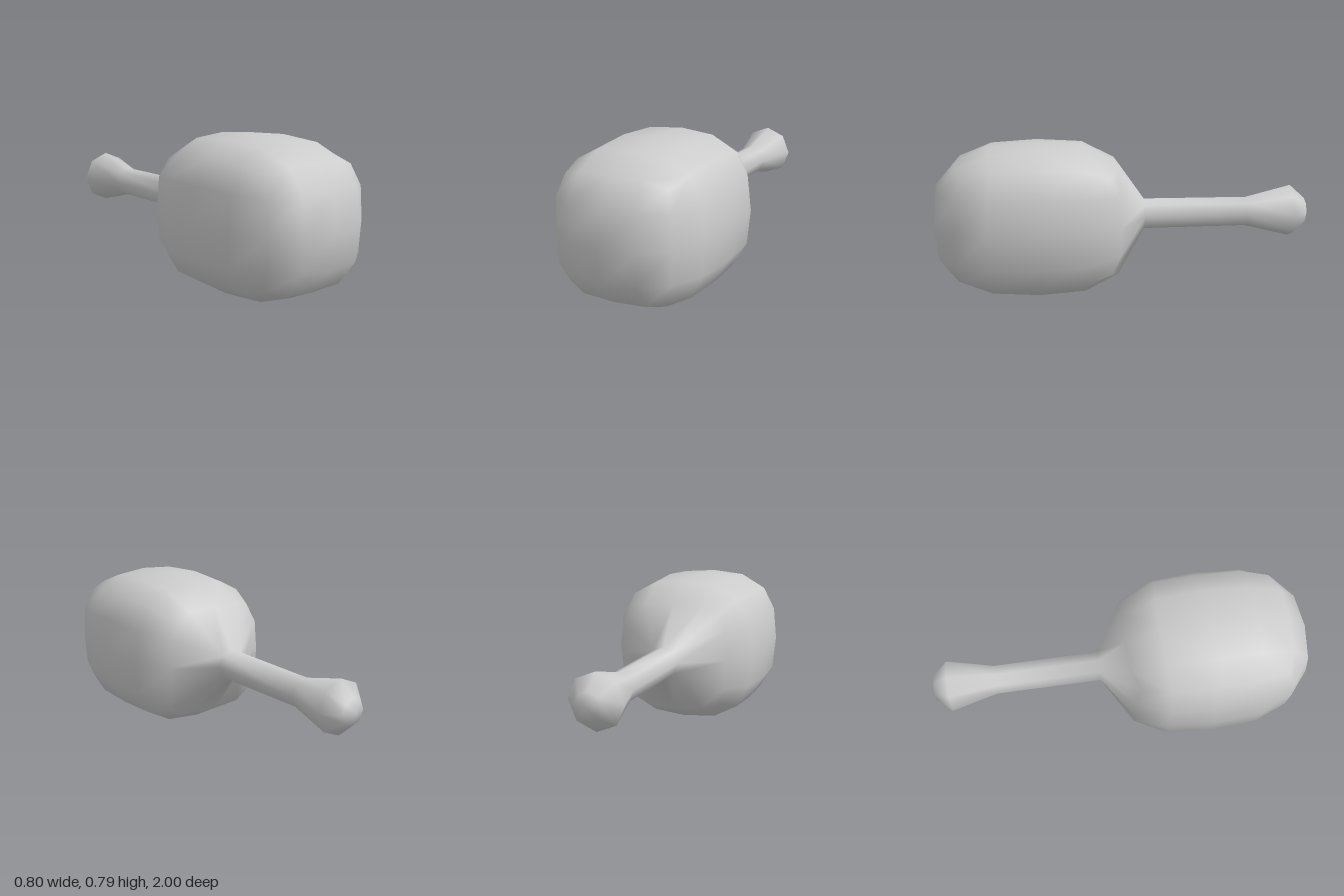
import * as THREE from 'three';
import { mergeVertices } from 'three/addons/utils/BufferGeometryUtils.js';

const SIDES = 8;
const CENTRE = [0, 0.396, 0.452];
const HALF = [0.402, 0.394, 0.546];

// Rounded block: where grid steps 0, 1 and 2 land, by the kind of grid point
const ROUNDING = {
  200: [0, 0, 1],        // middle of a face
  210: [0, 0.46, 0.96],
  211: [0, 0.44, 0.925],
  220: [0, 0, 0.77],     // middle of an edge
  221: [0, 0.42, 0.755],
  222: [0, 0, 0.68],     // corner
};

// Handle rings from the head to the knob: z, radius
const HANDLE = [[-0.11, 0.082], [-0.66, 0.079], [-0.9, 0.14], [-0.98, 0.068]];
const HANDLE_END = -1;

const ringAngle = (k) => (k / SIDES) * Math.PI * 2;

function malletGeometry() {
  const box = new THREE.BoxGeometry(4, 4, 4, 4, 4, 4);
  box.deleteAttribute('normal');
  box.deleteAttribute('uv');
  const grid = mergeVertices(box);
  const points = [];
  for (let i = 0; i < grid.attributes.position.count; i++) {
    points.push(new THREE.Vector3().fromBufferAttribute(grid.attributes.position, i).round().toArray());
  }

  // Open the middle of the back, where the handle grows out
  const inOpening = (i) => {
    const [x, y, z] = points[i];
    return z === -2 && Math.abs(x) < 2 && Math.abs(y) < 2;
  };
  const index = [];
  for (let t = 0; t < grid.index.count; t += 3) {
    const tri = [0, 1, 2].map((j) => grid.index.getX(t + j));
    if (!tri.every(inOpening)) index.push(...tri);
  }

  // Round the block, drawing its back edges in slightly
  const pos = points.flatMap((p) => {
    const steps = p.map(Math.abs);
    const round = ROUNDING[[...steps].sort().reverse().join('')];
    return p.map((v, axis) => {
      const taper = p[2] === -2 && axis < 2 ? 0.94 : 1;
      return CENTRE[axis] + Math.sign(v) * round[steps[axis]] * HALF[axis] * taper;
    });
  });

  // The first handle ring uses the points around the opening
  let ring = [];
  for (let k = 0; k < SIDES; k++) {
    const x = Math.round(Math.cos(ringAngle(k))), y = Math.round(Math.sin(ringAngle(k)));
    ring.push(points.findIndex((p) => p[0] === x && p[1] === y && p[2] === -2));
  }
  HANDLE.forEach(([z, r], i) => {
    const next = i === 0 ? ring : ring.map((_, k) => pos.length / 3 + k);
    next.forEach((id, k) => {
      pos[id * 3] = r * Math.cos(ringAngle(k));
      pos[id * 3 + 1] = CENTRE[1] + r * Math.sin(ringAngle(k));
      pos[id * 3 + 2] = z;
    });
    if (i > 0) {
      for (let k = 0; k < SIDES; k++) {
        const m = (k + 1) % SIDES;
        index.push(ring[k], next[k], ring[m], ring[m], next[k], next[m]);
      }
    }
    ring = next;
  });

  // Close the knob
  const end = pos.length / 3;
  pos.push(0, CENTRE[1], HANDLE_END);
  for (let k = 0; k < SIDES; k++) index.push(end, ring[(k + 1) % SIDES], ring[k]);

  const g = new THREE.BufferGeometry();
  g.setAttribute('position', new THREE.Float32BufferAttribute(pos, 3));
  g.setIndex(index);
  g.computeVertexNormals();
  return g;
}

export function createModel() {
  const group = new THREE.Group();
  group.name = 'mallet';
  const grey = new THREE.MeshStandardMaterial({ color: 0xcccccc });
  grey.name = 'light grey';
  const mallet = new THREE.Mesh(malletGeometry(), grey);
  mallet.name = 'headAndHandle';
  group.add(mallet);
  return group;
}
